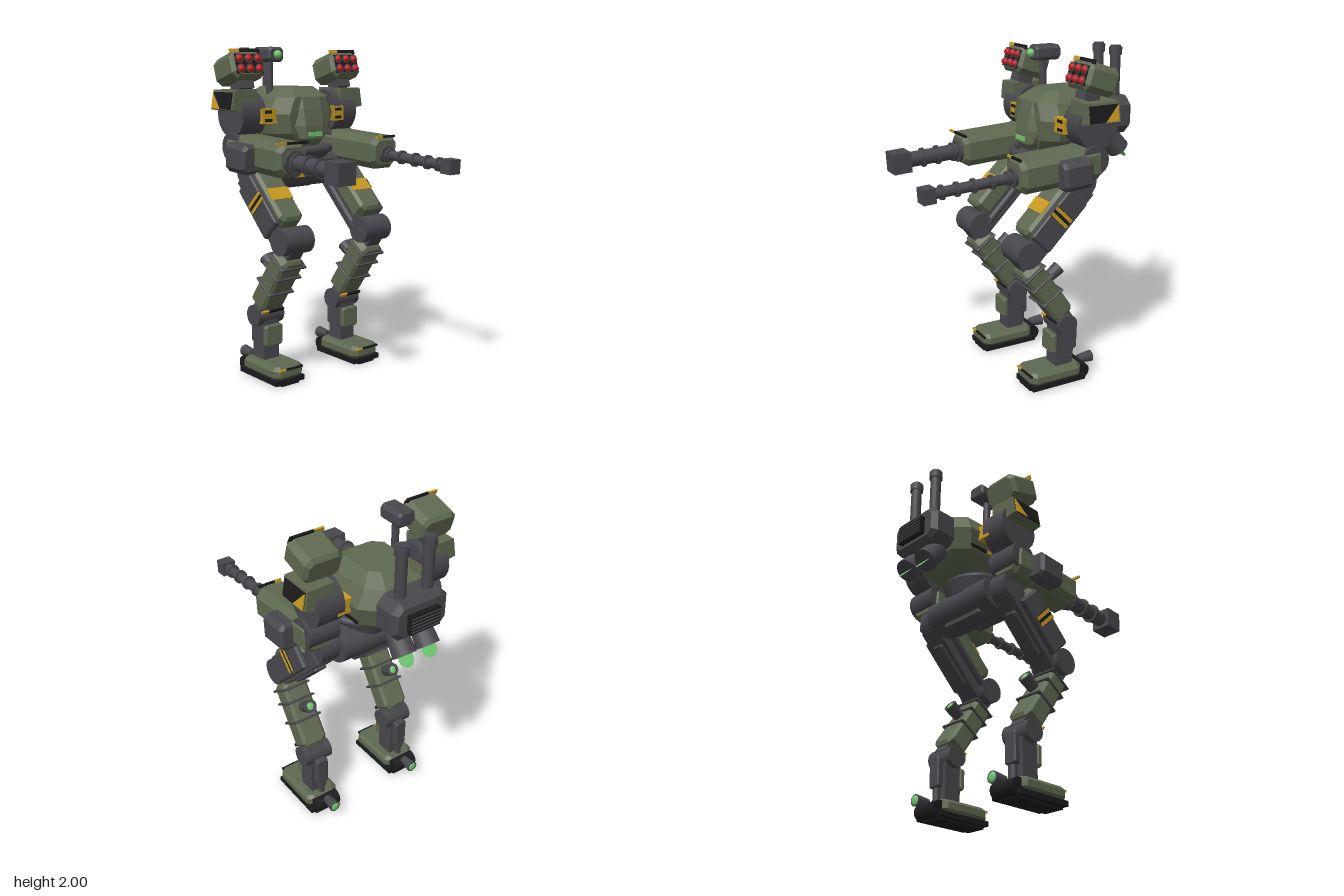
import * as THREE from 'three';

const mat = (name, color, side = THREE.FrontSide) => {
  const m = new THREE.MeshStandardMaterial({ color, side });
  m.name = name;
  return m;
};

export function createModel() {
  const green = mat('olive armour', 0x5f6850), dark = mat('dark steel', 0x48484d), black = mat('black', 0x1b1b1d);
  const yellow = mat('hazard yellow', 0xc99a22), red = mat('rocket red', 0xc41c1c);
  const glow = mat('green glow', 0x72c872, THREE.DoubleSide);
  const model = new THREE.Group();
  model.name = 'walker';

  // ---- helpers ----
  const add = (parent, name, geo, m, x = 0, y = 0, z = 0, rx = 0, rz = 0) => {
    const o = new THREE.Mesh(geo, m);
    o.name = name;
    o.position.set(x, y, z);
    o.rotation.set(rx, 0, rz);
    parent.add(o);
    return o;
  };
  const group = (parent, name, x, y, z, rx = 0) => {
    const g = new THREE.Group();
    g.name = name;
    g.position.set(x, y, z);
    g.rotation.x = rx;
    parent.add(g);
    return g;
  };
  const box = (w, h, d) => new THREE.BoxGeometry(w, h, d);
  const cyl = (r, h, r2 = r, n = 16) => new THREE.CylinderGeometry(r, r2, h, n);
  const H = Math.PI / 2;
  // box with chamfered corners on every side
  const chamfer = (w, h, d, c) => {
    const a = w / 2, b = h / 2, s = new THREE.Shape();
    [[a, c - b], [a, b - c], [a - c, b], [c - a, b], [-a, b - c], [-a, c - b], [c - a, -b], [a - c, -b]]
      .forEach(([x, y], i) => (i ? s.lineTo(x, y) : s.moveTo(x, y)));
    const t = c * 0.6;
    return new THREE.ExtrudeGeometry(s, {
      depth: d - 2 * t, bevelEnabled: true, bevelSize: t, bevelThickness: t, bevelOffset: -t, bevelSegments: 1,
    }).translate(0, 0, t - d / 2);
  };
  // faceted hull from octagonal rings [y, halfWidth, zFront, zBack, cornerCut]
  const loft = (rings) => {
    const pts = rings.map(([y, w, f, b, c]) => [
      [w, f - c], [w, b + c], [w - c, b], [c - w, b], [-w, b + c], [-w, f - c], [c - w, f], [w - c, f],
    ].map(([x, z]) => [x, y, z]));
    const v = [], tri = (...p) => p.forEach((q) => v.push(...q));
    const top = pts[pts.length - 1], bot = pts[0];
    for (let j = 0; j < pts.length - 1; j++) {
      for (let i = 0; i < 8; i++) {
        const k = (i + 1) % 8;
        tri(pts[j][i], pts[j][k], pts[j + 1][k]);
        tri(pts[j][i], pts[j + 1][k], pts[j + 1][i]);
      }
    }
    for (let i = 1; i < 7; i++) {
      tri(top[0], top[i], top[i + 1]);
      tri(bot[0], bot[i + 1], bot[i]);
    }
    const g = new THREE.BufferGeometry();
    g.setAttribute('position', new THREE.Float32BufferAttribute(v, 3));
    g.computeVertexNormals();
    return g;
  };
  // black warning strip with a yellow end
  const strip = (parent, w, x, y, z, h = 0.02) => {
    add(parent, 'warningStrip', box(w * 0.7, h, 0.012), black, x + w * 0.15, y, z);
    add(parent, 'warningStripEnd', box(w * 0.3, h, 0.012), yellow, x - w * 0.35, y, z);
  };

  // ---- torso ----
  add(model, 'torso', loft([
    [1.41, 0.14, -0.12, -0.48, 0.06], [1.48, 0.22, -0.1, -0.55, 0.08], [1.6, 0.25, -0.09, -0.59, 0.09],
    [1.7, 0.2, -0.09, -0.57, 0.08], [1.76, 0.13, -0.18, -0.48, 0.05],
  ]), green);
  add(model, 'cockpit', loft([
    [1.41, 0.06, -0.07, -0.2, 0.02], [1.45, 0.09, -0.045, -0.2, 0.03], [1.53, 0.12, -0.05, -0.2, 0.05],
    [1.63, 0.1, -0.07, -0.2, 0.03], [1.7, 0.085, -0.09, -0.2, 0.02],
  ]), green);
  add(model, 'visorLight', box(0.105, 0.026, 0.02), glow, 0, 1.478, -0.048);
  for (const s of [-1, 1]) {
    add(model, 'torsoStrip', box(0.009, 0.018, 0.12), black, s * 0.232, 1.5, -0.42);
    add(model, 'torsoStripEnd', box(0.01, 0.018, 0.04), yellow, s * 0.232, 1.5, -0.34);
  }

  // ---- waist and pelvis ----
  add(model, 'waistRing', new THREE.TorusGeometry(0.185, 0.025, 8, 28), dark, 0, 1.385, -0.205, H);
  add(model, 'turntable', cyl(0.2, 0.08, 0.17, 24), dark, 0, 1.34, -0.22);
  add(model, 'pelvis', cyl(0.11, 0.5, 0.11, 20), dark, 0, 1.25, -0.25, 0, H).scale.z = 1.35;
  add(model, 'pelvisPanel', chamfer(0.33, 0.12, 0.1, 0.02), dark, 0, 1.275, -0.09);
  add(model, 'pelvisKeel', chamfer(0.3, 0.04, 0.08, 0.012), dark, 0, 1.15, -0.3);
  for (let i = 0; i < 4; i++) {
    add(model, 'pelvisStripe', box(0.08, 0.028, 0.009), i % 2 ? black : yellow, -0.12 + i * 0.08, 1.24, -0.038);
  }

  // ---- backpack, exhaust stacks and thrusters ----
  add(model, 'backpack', chamfer(0.37, 0.23, 0.18, 0.05), dark, 0, 1.585, -0.64);
  add(model, 'vent', box(0.2, 0.11, 0.04), black, 0, 1.575, -0.74);
  for (let i = 0; i < 5; i++) add(model, 'ventSlat', box(0.19, 0.006, 0.008), dark, 0, 1.535 + i * 0.02, -0.761);
  for (const s of [-1, 1]) {
    add(model, 'exhaustStack', cyl(0.032, 0.32), dark, s * 0.09, 1.84, -0.65);
    add(model, 'exhaustCap', cyl(0.04, 0.045), dark, s * 0.09, 1.967, -0.65);
    add(model, 'exhaustMouth', cyl(0.024, 0.004), black, s * 0.09, 1.99, -0.65);
    const t = group(model, 'backThruster', s * 0.08, 1.41, -0.655, 0.7);
    add(t, 'nozzle', cyl(0.06, 0.14, 0.07), dark);
    add(t, 'plume', new THREE.CircleGeometry(0.05, 16), glow, 0, -0.09, 0);
  }

  // ---- periscope on the right shoulder side ----
  add(model, 'periscopePole', cyl(0.022, 0.38, 0.022, 10), dark, -0.16, 1.74, -0.29);
  add(model, 'periscopeHead', chamfer(0.115, 0.09, 0.17, 0.02), dark, -0.16, 1.953, -0.3);
  add(model, 'periscopeLens', new THREE.SphereGeometry(0.026, 12, 8), glow, -0.16, 1.953, -0.205);

  for (const s of [-1, 1]) {
    const side = s > 0 ? 'left' : 'right';

    // ---- shoulder ----
    const shoulder = group(model, side + 'Shoulder', s * 0.36, 1.6, -0.3);
    add(shoulder, 'shoulderDrum', cyl(0.135, 0.165, 0.135, 24), dark, 0, 0, 0, 0, H);
    add(shoulder, 'axle', box(0.14, 0.09, 0.28), yellow, -s * 0.11, -0.01, 0.01);
    for (const y of [-0.035, 0.015]) add(shoulder, 'axleStripe', box(0.05, 0.018, 0.006), black, -s * 0.085, y, 0.152);
    const pad = new THREE.Shape([[-0.03, 0.15], [0.13, 0.145], [0.15, 0.03], [0.03, 0.01], [-0.03, 0.06]]
      .map(([x, y]) => new THREE.Vector2(s * x, y)));
    add(shoulder, 'shoulderPad', new THREE.ExtrudeGeometry(pad, { depth: 0.22, bevelEnabled: false }), green, 0, 0, -0.105);
    add(shoulder, 'padPlate', box(0.01, 0.1, 0.19), black, s * 0.145, 0.083, 0.005, 0, s * 0.17);
    const flash = new THREE.Shape([[0, 0], [0.09, 0], [0.09, 0.095]].map(([x, y]) => new THREE.Vector2(x, y)));
    const f = add(shoulder, 'padFlash', new THREE.ExtrudeGeometry(flash, { depth: 0.008, bevelEnabled: false }),
      yellow, s * 0.156 - 0.004, 0.035, 0, 0, s * 0.17);
    f.geometry.rotateY(H);

    // ---- rocket pod ----
    const pod = group(model, side + 'RocketPod', s * 0.38, 1.867, -0.295, -0.3);
    add(pod, 'podCase', chamfer(0.235, 0.165, 0.21, 0.035), green);
    add(pod, 'podFace', box(0.185, 0.115, 0.008), black, 0, 0, 0.106);
    add(pod, 'podMount', box(0.1, 0.08, 0.1), dark, 0, -0.09, 0);
    strip(pod, 0.21, 0, 0.083, 0.085, 0.025);
    for (const x of [-0.065, 0, 0.065]) {
      for (const y of [-0.031, 0.031]) {
        add(pod, 'rocketTube', cyl(0.029, 0.012), dark, x, y, 0.108, H);
        add(pod, 'rocket', new THREE.SphereGeometry(0.023, 10, 8), red, x, y, 0.11);
      }
    }

    // ---- gun arm ----
    const arm = group(model, side + 'Arm', s * 0.36, 1.375, -0.07, 0.055);
    add(arm, 'armHousing', chamfer(0.22, 0.2, 0.53, 0.045), green);
    add(arm, 'elbowPod', chamfer(0.13, 0.17, 0.19, 0.03), dark, s * 0.125, -0.02, -0.05);
    add(arm, 'elbowJoint', cyl(0.09, 0.2), dark, 0, 0.02, -0.21, 0, H);
    strip(arm, s > 0 ? 0.15 : 0.225, s > 0 ? 0 : -0.005, 0.098, 0.26, 0.014);
    const [r, len, muzzle, tip, bands] = s > 0
      ? [0.03, 0.52, 0.085, 0.075, [0.31, 0.41, 0.52, 0.62, 0.71]]
      : [0.047, 0.4, 0.125, 0.115, [0.31, 0.415, 0.51]];
    add(arm, 'barrelCollar', cyl(r + 0.022, 0.03), dark, 0, -0.01, 0.27, H);
    add(arm, 'barrel', cyl(r, len), dark, 0, -0.01, 0.24 + len / 2, H);
    for (const z of bands) add(arm, 'barrelBand', cyl(r + 0.012, 0.016), dark, 0, -0.01, z, H);
    add(arm, 'muzzle', box(muzzle, muzzle, tip), dark, 0, -0.01, (s > 0 ? 0.832 : 0.722) - tip / 2);

    // ---- thigh ----
    const thigh = group(model, side + 'Thigh', s * 0.315, 1.08, -0.075, -0.785);
    add(thigh, 'thighArmour', chamfer(0.17, 0.4, 0.12, 0.03), green, 0, 0, 0.05);
    add(thigh, 'thighFrame', box(0.14, 0.5, 0.12), dark, 0, -0.005, -0.04);
    add(thigh, 'thighSidePlate', chamfer(0.04, 0.37, 0.16, 0.012), dark, s * 0.095, -0.01, 0);
    add(thigh, 'thighPiston', cyl(0.022, 0.42, 0.022, 10), dark, -s * 0.09, -0.02, -0.03);
    add(thigh, 'thighBackPlate', chamfer(0.08, 0.3, 0.03, 0.01), dark, 0, -0.01, -0.105);
    add(thigh, 'thighMark', box(0.15, 0.085, 0.008), yellow, 0, -0.01, 0.109);
    add(thigh, 'sidePatch', box(0.006, 0.07, 0.14), black, s * 0.115, 0.01, 0.01);
    for (const y of [-0.012, 0.03]) add(thigh, 'sideStripe', box(0.008, 0.022, 0.14), yellow, s * 0.116, y, 0.01);
    add(model, side + 'Hip', cyl(0.1, 0.14), dark, s * 0.3, 1.26, -0.25, 0, H);
    add(model, side + 'Knee', cyl(0.08, 0.205, 0.08, 20), dark, s * 0.31, 0.885, 0.12, 0, H);

    // ---- shin ----
    const shin = group(model, side + 'Shin', s * 0.315, 0.63, -0.015, 0.615);
    add(shin, 'shinCore', box(0.1, 0.54, 0.08), dark);
    add(shin, 'shinArmour', chamfer(0.165, 0.43, 0.135, 0.03), green, 0, -0.01, 0);
    for (const y of [-0.05, 0.075, 0.16]) add(shin, 'shinBand', chamfer(0.185, 0.014, 0.16, 0.004), dark, 0, y, 0);
    strip(shin, 0.16, 0, -0.2, 0.075, 0.02);
    add(shin, 'calfThruster', cyl(0.042, 0.11, 0.032), dark, 0, 0.024, -0.105, -H);
    add(shin, 'calfGlow', new THREE.SphereGeometry(0.034, 12, 8), glow, 0, 0.024, -0.148).scale.z = 0.5;

    // ---- ankle and foot ----
    const foot = group(model, side + 'Foot', s * 0.31, 0, 0);
    add(foot, 'ankle', cyl(0.066, 0.187, 0.066, 20), dark, 0, 0.39, -0.15, 0, H);
    add(foot, 'anklePost', box(0.11, 0.27, 0.115), dark, 0, 0.235, -0.148);
    add(foot, 'ankleGuard', chamfer(0.128, 0.13, 0.035, 0.012), green, 0, 0.27, -0.077);
    add(foot, 'ankleBack', chamfer(0.08, 0.19, 0.045, 0.012), dark, 0, 0.29, -0.228);
    add(foot, 'heelPiston', cyl(0.022, 0.2, 0.022, 10), dark, 0, 0.2, -0.222);
    const upper = add(foot, 'footArmour', chamfer(0.22, 0.36, 0.08, 0.035), green, 0, 0.08, -0.08, -H);
    upper.position.y = 0.077;
    add(foot, 'sole', box(0.215, 0.03, 0.37), black, 0, 0.025, -0.09);
    add(foot, 'toePlate', box(0.13, 0.024, 0.36), black, 0, 0.012, -0.085);
    add(foot, 'heel', cyl(0.05, 0.17, 0.05, 14), black, 0, 0.055, -0.265, 0, H);
    add(foot, 'heelThruster', cyl(0.026, 0.09, 0.036, 12), dark, 0, 0.095, -0.335, H);
    add(foot, 'heelGlow', new THREE.SphereGeometry(0.03, 12, 8), glow, 0, 0.095, -0.377).scale.z = 0.4;
    strip(foot, 0.18, 0, 0.1, 0.095, 0.012);
  }
  return model;
}
